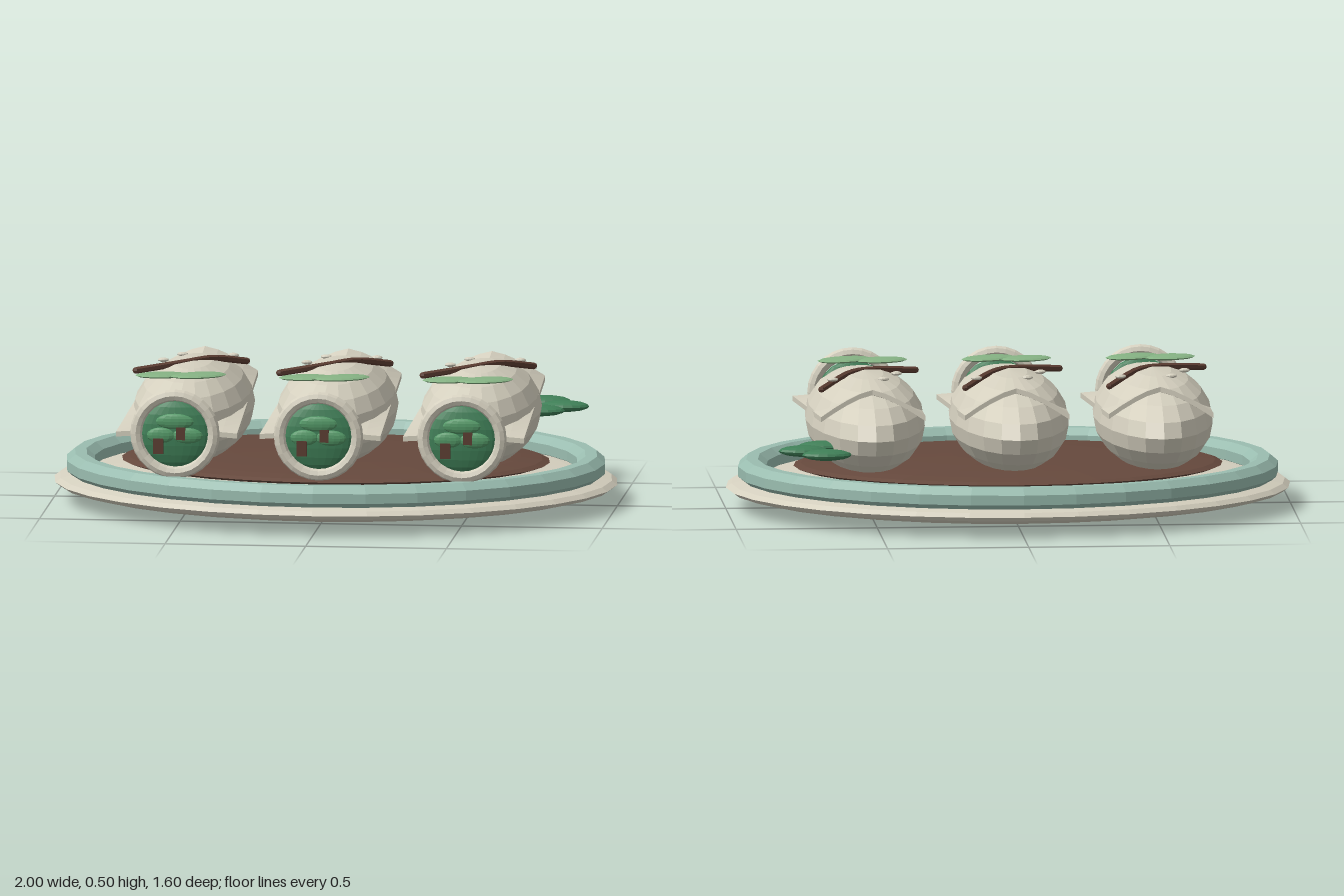
import * as THREE from 'three';

const mat = (name, color) => {
  const m = new THREE.MeshStandardMaterial({ color, flatShading: true });
  m.name = name;
  return m;
};

export function createModel() {
  const cream = mat('cream', 0xd5d0bf);
  const teal = mat('pale teal', 0x9abdb0);
  const brown = mat('brown', 0x66493d);
  const bark = mat('dark bark', 0x5c3d32);
  const green = mat('deep green', 0x3f7f57);
  const leafGreen = mat('mid green', 0x549a68);
  const lightGreen = mat('light green', 0x86b384);

  const root = new THREE.Group();
  root.name = 'platter';

  const add = (parent, name, geometry, material, x = 0, y = 0, z = 0) => {
    const mesh = new THREE.Mesh(geometry, material);
    mesh.name = name;
    mesh.position.set(x, y, z);
    parent.add(mesh);
    return mesh;
  };
  // Stretched sphere
  const blob = (parent, name, material, [x, y, z], [rx, ry, rz], w = 16, h = 8) =>
    add(parent, name, new THREE.SphereGeometry(1, w, h).scale(rx, ry, rz), material, x, y, z);

  // Oval plate and its brown centre
  blob(root, 'plate', cream, [0, 0.075, 0], [1, 0.075, 0.8], 32, 16);
  blob(root, 'plateCentre', brown, [0, 0.15, 0], [0.76, 0.036, 0.525], 32, 12);

  // Raised rim, octagonal in section
  const rimProfile = [];
  for (let i = 0; i <= 8; i++) {
    const a = (i + 0.5) * Math.PI / 4;
    rimProfile.push(new THREE.Vector2(0.907 + 0.054 * Math.cos(a), 0.132 + 0.046 * Math.sin(a)));
  }
  const rim = new THREE.LatheGeometry(rimProfile.reverse(), 32).scale(1, 1, 0.805);
  const rimMesh = add(root, 'plateRim', rim, teal);
  rimMesh.material.side = THREE.DoubleSide;

  // Wrapper sheet: flat at the front, rising to a roof-like flare at the back
  const wrapperGeometry = () => {
    const g = new THREE.BoxGeometry(2, 0.018, 1, 8, 1, 12);
    const p = g.attributes.position;
    for (let i = 0; i < p.count; i++) {
      const u = p.getX(i), t = 0.5 - p.getZ(i);
      const a = Math.abs(u);
      const edge = 0.312 + 0.068 * t;
      const crown = (0.012 + 0.078 * t) * (1 - Math.pow(a, 1.4));
      p.setXYZ(i, u * (0.215 - 0.03 * t), edge + crown + p.getY(i),
        0.525 - t * (0.935 + 0.035 * a));
    }
    g.computeVertexNormals();
    return g;
  };

  // Small tree picture on each end disc: x, y, half width, half height
  const crowns = [[0, 0.05, 0.068, 0.028], [-0.05, 0, 0.05, 0.028], [0.045, 0, 0.055, 0.028]];
  const trunks = [[-0.058, -0.038, 0.036, 0.055], [0.022, 0.008, 0.032, 0.045]];

  const makeRoll = (x) => {
    const roll = new THREE.Group();
    roll.name = 'roll';
    roll.position.x = x;
    root.add(roll);

    blob(roll, 'rollBody', cream, [0, 0.32, -0.035], [0.21, 0.175, 0.57], 20, 10);
    add(roll, 'wrapper', wrapperGeometry(), cream);

    // End disc with ring and trees
    blob(roll, 'endDisc', green, [0, 0.32, 0.555], [0.125, 0.122, 0.03], 24, 10);
    add(roll, 'endRing', new THREE.TorusGeometry(0.138, 0.021, 8, 28), cream, 0, 0.325, 0.577);
    for (const [cx, cy, w, h] of crowns)
      blob(roll, 'treeCrown', leafGreen, [cx, 0.32 + cy, 0.583], [w, h, 0.012], 14, 8);
    for (const [tx, ty, w, h] of trunks)
      add(roll, 'treeTrunk', new THREE.BoxGeometry(w, h, 0.016), bark, tx, 0.32 + ty, 0.588);

    // Pair of leaves on top
    blob(roll, 'topLeaf', lightGreen, [-0.08, 0.484, 0.268], [0.095, 0.01, 0.053], 18, 6).rotation.y = 0.2;
    blob(roll, 'topLeaf', lightGreen, [0.05, 0.486, 0.273], [0.103, 0.01, 0.055], 18, 6).rotation.y = 0.4;

    // Bent twig across the back
    const path = new THREE.CatmullRomCurve3([
      new THREE.Vector3(-0.19, 0.472, 0.105), new THREE.Vector3(-0.03, 0.488, 0.015),
      new THREE.Vector3(0.06, 0.49, -0.08), new THREE.Vector3(0.168, 0.457, -0.235)]);
    add(roll, 'twig', new THREE.TubeGeometry(path, 12, 0.012, 6), bark);
    for (const t of [0, 1]) {
      const p = path.getPoint(t);
      blob(roll, 'twigEnd', bark, [p.x, p.y, p.z], [0.012, 0.012, 0.012], 6, 4);
    }

    // Seeds
    for (const [sx, sz] of [[-0.055, -0.19], [0.125, -0.19], [-0.11, -0.06]])
      blob(roll, 'seed', cream, [sx, 0.485, sz], [0.02, 0.008, 0.012], 10, 6);
  };
  for (const x of [-0.51, 0, 0.51]) makeRoll(x);

  // Garnish leaves beside the rim
  for (const [x, z] of [[0.685, -0.585], [0.76, -0.482], [0.685, -0.378]])
    blob(root, 'garnishLeaf', green, [x, 0.275, z], [0.088, 0.02, 0.046], 16, 8);

  return root;
}
